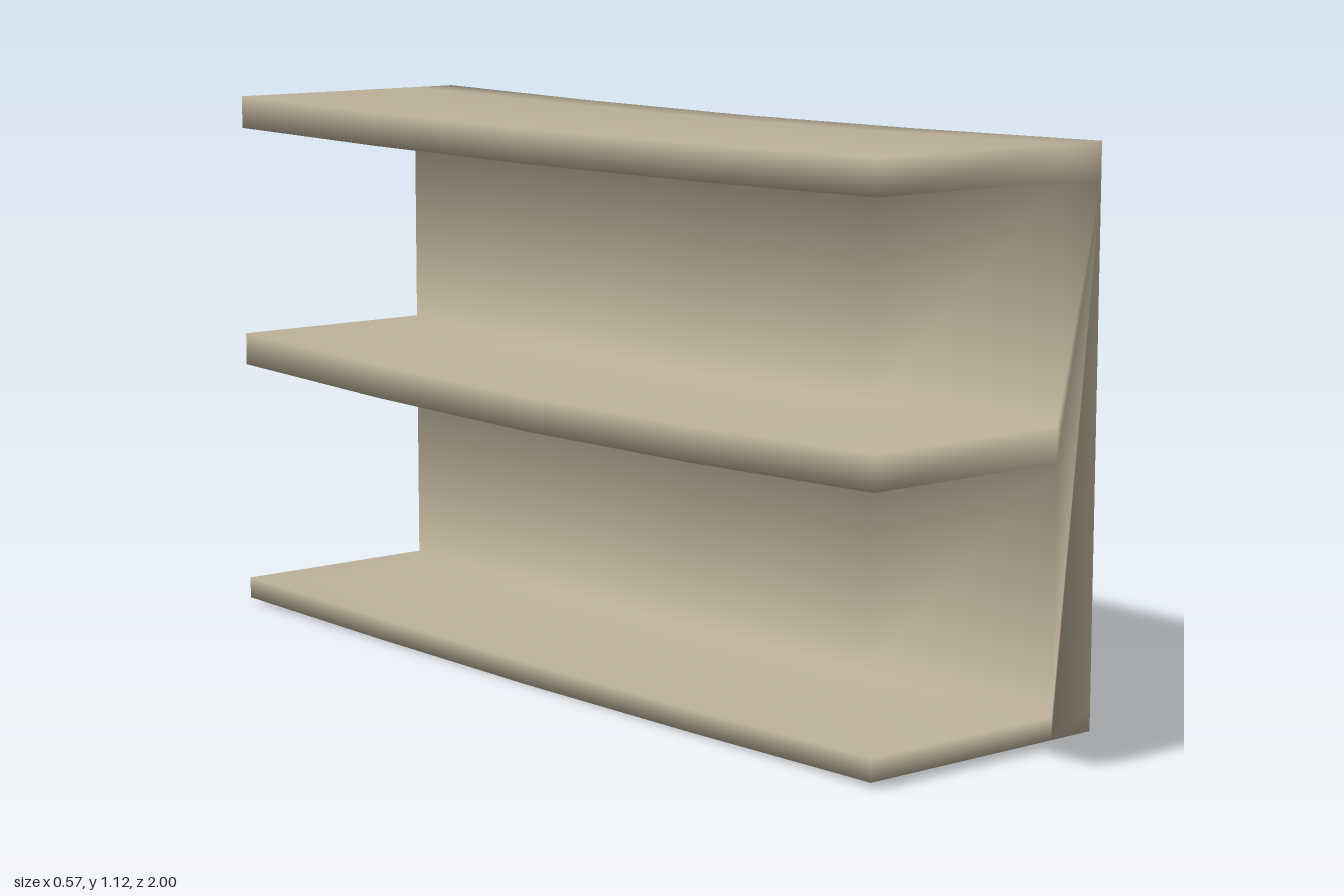
import * as THREE from 'three';
import { mergeVertices } from 'three/addons/utils/BufferGeometryUtils.js';

const LENGTH = 2;

// E-shaped section: one upright web with three flanges
function sectionShape() {
  const free = -0.284, inner = 0.18, outer = 0.284;
  return new THREE.Shape([
    [free, 0.01], [inner, 0.01], [outer, 0.01], [outer, 0.055], [outer, 1.05], [outer, 1.125],
    [inner, 1.125], [free, 1.125], [free, 1.056], [inner, 1.056],
    [inner, 0.604], [free, 0.604], [free, 0.535], [inner, 0.535],
    [inner, 0.055], [free, 0.055],
  ].map(([x, y]) => new THREE.Vector2(x, y)));
}

// Flanges bow down slightly between the ends, the middle one most
function sag(geometry) {
  const p = geometry.attributes.position;
  for (let i = 0; i < p.count; i++) {
    const y = p.getY(i);
    const depth = y > 0.4 && y < 0.8 ? 0.02 : 0.01;
    p.setY(i, y - depth * Math.cos(p.getZ(i) * Math.PI / 2));
  }
}

export function createModel() {
  const group = new THREE.Group();
  group.name = 'shelfChannel';

  const beige = new THREE.MeshStandardMaterial({ color: 0xb9ad96 });
  beige.name = 'beige';

  let geometry = new THREE.ExtrudeGeometry(sectionShape(), { depth: LENGTH, steps: 4, bevelEnabled: false });
  geometry.translate(0, 0, -LENGTH / 2);
  sag(geometry);

  // Shared vertices give soft shading over the edges
  geometry.clearGroups();
  geometry.deleteAttribute('normal');
  geometry.deleteAttribute('uv');
  geometry = mergeVertices(geometry, 1e-4);
  geometry.computeVertexNormals();

  const channel = new THREE.Mesh(geometry, beige);
  channel.name = 'webAndFlanges';
  group.add(channel);
  return group;
}
